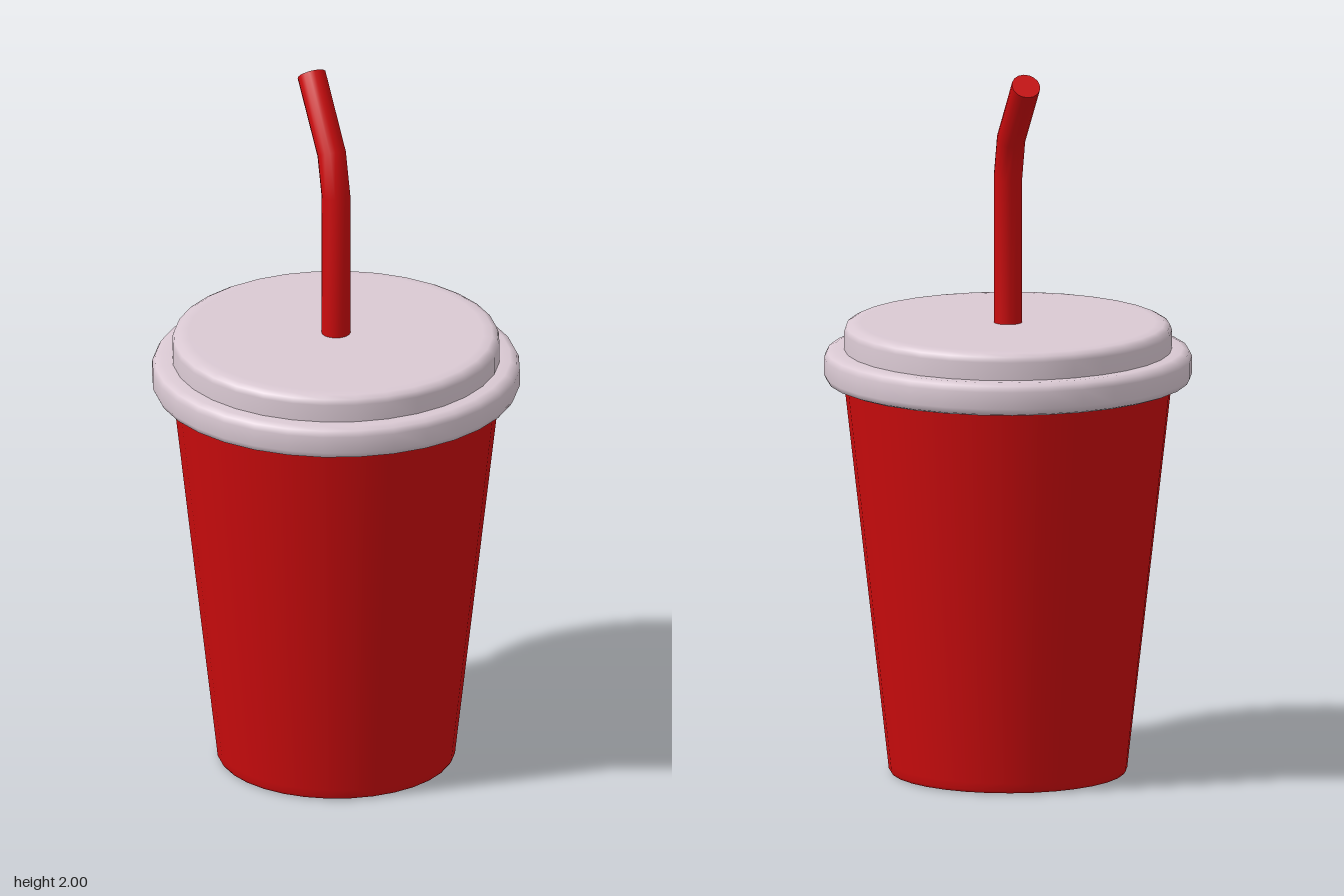
import * as THREE from 'three';

const SIDES = 32;

// Turns a profile of [radius, height] pairs, listed from bottom to top
function turned(name, profile, material) {
  const points = profile.map(([r, y]) => new THREE.Vector2(r, y));
  const mesh = new THREE.Mesh(new THREE.LatheGeometry(points, SIDES), material);
  mesh.name = name;
  return mesh;
}

// Bent straw: each ring of a cylinder is moved to its centre and tilted
function bentStraw(material) {
  const rings = [
    { at: [0, 1.24, 0], tilt: 0 },
    { at: [0, 1.68, 0], tilt: 8 },
    { at: [0.012, 1.795, -0.032], tilt: 28 },
    { at: [0.063, 1.973, -0.176], tilt: 42 },
  ];
  const bendAxis = new THREE.Vector3(-0.94, 0, -0.34).normalize();
  const geometry = new THREE.CylinderGeometry(0.04, 0.04, 3, 16, 3);
  const { position, normal } = geometry.attributes;
  const p = new THREE.Vector3();
  const n = new THREE.Vector3();
  const turn = new THREE.Quaternion();
  for (let i = 0; i < position.count; i++) {
    p.fromBufferAttribute(position, i);
    n.fromBufferAttribute(normal, i);
    const ring = rings[Math.round(p.y + 1.5)];
    turn.setFromAxisAngle(bendAxis, THREE.MathUtils.degToRad(ring.tilt));
    p.setY(0).applyQuaternion(turn).add(new THREE.Vector3(...ring.at));
    n.applyQuaternion(turn);
    position.setXYZ(i, p.x, p.y, p.z);
    normal.setXYZ(i, n.x, n.y, n.z);
  }
  const mesh = new THREE.Mesh(geometry, material);
  mesh.name = 'straw';
  return mesh;
}

export function createModel() {
  const red = new THREE.MeshStandardMaterial({ color: 0xcc0b0d });
  red.name = 'cup red';
  const pale = new THREE.MeshStandardMaterial({ color: 0xdac9d3 });
  pale.name = 'lid pale pink';

  const model = new THREE.Group();
  model.name = 'drinkCup';

  // Tapered cup with a narrow rounded foot
  model.add(turned('cup', [
    [0, 0], [0.31, 0], [0.326, 0.002], [0.331, 0.01], [0.333, 0.03], [0.457, 1.12],
  ], red));

  // Lid: rounded flange gripping the cup, with a raised cap above it
  const lid = new THREE.Group();
  lid.name = 'lid';
  lid.add(turned('lidFlange', [
    [0.44, 1.102], [0.485, 1.102], [0.503, 1.109], [0.511, 1.125],
    [0.511, 1.172], [0.503, 1.188], [0.485, 1.195], [0.45, 1.195],
  ], pale));
  lid.add(turned('lidCap', [
    [0.455, 1.19], [0.455, 1.245], [0.45, 1.26], [0.435, 1.268], [0.41, 1.27], [0, 1.27],
  ], pale));
  model.add(lid);

  model.add(bentStraw(red));
  return model;
}
